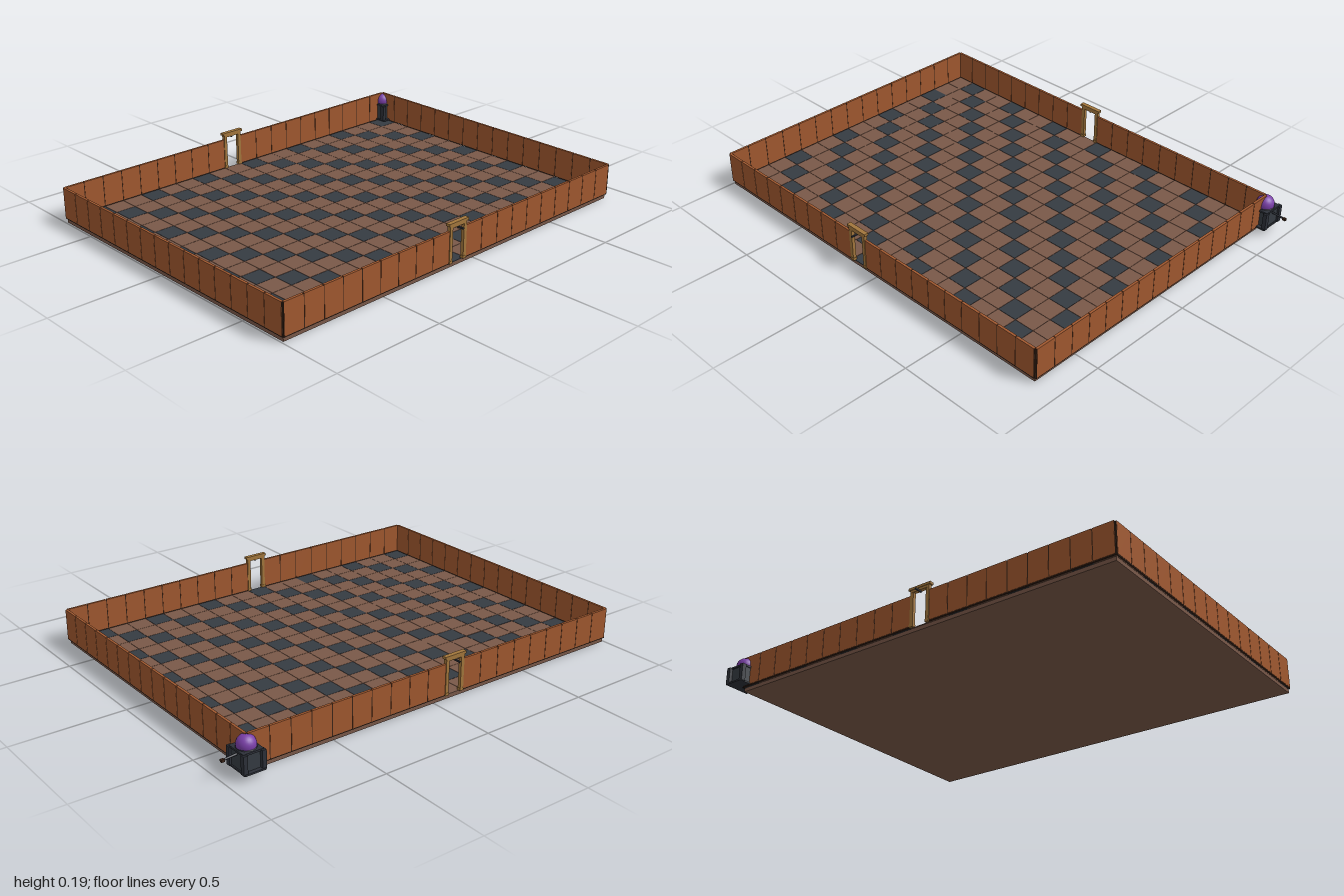
import * as THREE from 'three';

const mat = (name, color, extra = {}) => {
  const m = new THREE.MeshStandardMaterial({ color, ...extra });
  m.name = name;
  return m;
};

export function createModel() {
  const brown = mat('brown stone', 0x795848);
  const slate = mat('dark slate', 0x353b42);
  const brick = mat('red brown wall', 0xa0582f);
  const joint = mat('dark joint', 0x3a2418);
  const timber = mat('golden timber', 0xa2763c);
  const iron = mat('dark iron', 0x2c3038);
  const purple = mat('purple glow', 0x7a3fa8);

  const root = new THREE.Group();
  root.name = 'room';
  const group = (name, parent = root) => {
    const g = new THREE.Group();
    g.name = name;
    parent.add(g);
    return g;
  };
  const add = (parent, name, geo, material, x, y, z) => {
    const m = new THREE.Mesh(geo, material);
    m.name = name;
    m.position.set(x, y, z);
    parent.add(m);
    return m;
  };
  const box = (parent, name, material, w, h, d, x, y, z) =>
    add(parent, name, new THREE.BoxGeometry(w, h, d), material, x, y, z);

  // Grid layout
  const P = 0.0941, COLS = 15, ROWS = 20;
  const X0 = -0.692, Z0 = -0.888;
  const X1 = X0 + COLS * P, Z1 = Z0 + ROWS * P;
  const CX = (X0 + X1) / 2, CZ = (Z0 + Z1) / 2;
  const FLOOR = 0.02, TOP = 0.16, THICK = 0.011, DOOR_ROW = 10;

  // Floor slab, joints and tiles in a repeating diagonal of three
  const floor = group('floor');
  box(floor, 'slab', brown, X1 - X0 - 0.006, 0.017, Z1 - Z0 - 0.004, CX, 0.0085, CZ);
  box(floor, 'tileJoints', joint, X1 - X0 - 0.008, 0.0015, Z1 - Z0 - 0.006, CX, 0.01775, CZ);
  const tileGeo = new THREE.BoxGeometry(P - 0.0016, 0.003, P - 0.0016);
  for (let r = 0; r < ROWS; r++) {
    for (let c = 0; c < COLS; c++) {
      const dark = (r + c) % 3 === 0;
      add(floor, dark ? 'darkTile' : 'brownTile', tileGeo, dark ? slate : brown,
        X0 + (c + 0.5) * P, FLOOR - 0.0015, Z0 + (r + 0.5) * P);
    }
  }

  // Walls: panels with dark joints showing between and below them
  const panelGeo = new THREE.BoxGeometry(P - 0.004, TOP - FLOOR - 0.005, THICK);
  const coreGeo = new THREE.BoxGeometry(P, TOP - FLOOR - 0.002, THICK - 0.002);
  function wall(name, count, x, z, alongX, doorIndex = -1) {
    const g = group(name);
    g.position.set(x, 0, z);
    if (!alongX) g.rotation.y = -Math.PI / 2; // local x runs toward +z
    for (let i = 0; i < count; i++) {
      if (i === doorIndex) continue;
      const px = (i + 0.5) * P;
      add(g, 'wallPanel', panelGeo, brick, px, (FLOOR + TOP) / 2 + 0.0025, 0);
      add(g, 'wallJoint', coreGeo, joint, px, (FLOOR + TOP) / 2 - 0.001, 0);
    }
  }
  wall('frontWall', COLS, X0, Z1, true);
  wall('backWall', COLS, X0, Z0 - 0.004, true);
  wall('leftWall', ROWS, X1, Z0, false, DOOR_ROW);
  wall('rightWall', ROWS, X0, Z0, false, DOOR_ROW);

  // Doorways: posts, stepped lintel and an outward iron bracket
  function doorway(name, x, side) {
    const g = group(name);
    g.position.set(x, 0, Z0 + (DOOR_ROW + 0.5) * P);
    for (const s of [-1, 1]) {
      box(g, 'doorPost', timber, 0.015, 0.156, 0.016, 0, 0.098, s * 0.040);
      box(g, 'postFoot', timber, 0.017, 0.012, 0.019, 0, 0.026, s * 0.040);
    }
    box(g, 'lintel', timber, 0.016, 0.012, 0.096, 0, 0.177, 0);
    box(g, 'lintelCap', timber, 0.02, 0.011, 0.11, 0, 0.1875, 0);
    box(g, 'bracket', iron, 0.036, 0.006, 0.007, side * 0.015, 0.167, 0);
  }
  doorway('leftDoorway', X1, 1);
  doorway('rightDoorway', X0, -1);

  // Corner pedestal with an orb and a lever at the back
  const ped = group('pedestal');
  ped.position.set(X0, 0, -0.892);
  box(ped, 'base', iron, 0.118, 0.007, 0.09, 0, 0.0275, 0);
  box(ped, 'body', slate, 0.084, 0.072, 0.08, 0, 0.065, 0);
  for (const sx of [-1, 1]) {
    for (const sz of [-1, 1]) {
      box(ped, 'cornerPost', iron, 0.02, 0.078, 0.018, sx * 0.047, 0.065, sz * 0.04);
    }
  }
  box(ped, 'top', iron, 0.096, 0.008, 0.088, 0, 0.103, 0);
  add(ped, 'orbSocket', new THREE.CylinderGeometry(0.034, 0.042, 0.01, 16), iron, 0, 0.11, 0);
  add(ped, 'orb', new THREE.SphereGeometry(0.039, 24, 16), purple, 0, 0.118, 0);
  const rod = add(ped, 'lever', new THREE.CylinderGeometry(0.004, 0.005, 0.066, 8), iron, 0, 0.087, -0.074);
  rod.rotation.x = -Math.PI / 2 - 0.08;
  box(ped, 'leverGrip', joint, 0.011, 0.011, 0.014, 0, 0.084, -0.101);

  return root;
}
